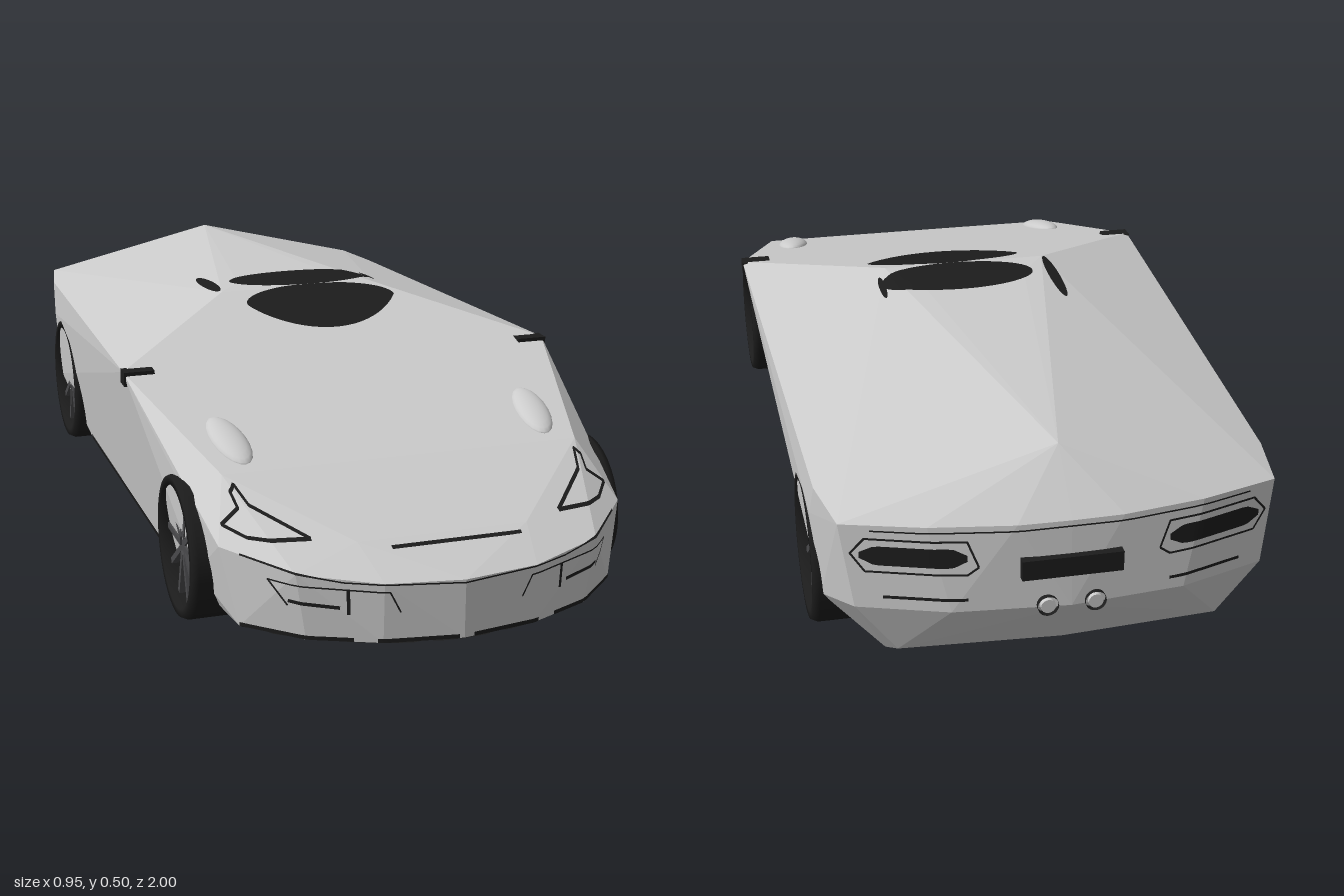
import * as THREE from 'three';
import { ConvexGeometry } from 'three/addons/geometries/ConvexGeometry.js';

const mat = (name, color, side = THREE.FrontSide) => {
  const m = new THREE.MeshStandardMaterial({ color, side });
  m.name = name;
  return m;
};

export function createModel() {
  const car = new THREE.Group();
  car.name = 'car';
  const paint = mat('silver paint', 0xcccccc);
  const black = mat('black trim', 0x1c1c1c, THREE.DoubleSide);
  const metal = mat('dark wheel metal', 0x4a4a4c);

  const add = (name, geo, material, parent = car) => {
    const m = new THREE.Mesh(geo, material);
    m.name = name;
    parent.add(m);
    return m;
  };

  // Faceted body shell: half of the corner points, mirrored across x
  const half = [
    [0.475, 0.42, 0.28], [0.47, 0.395, 0.28],                        // widest shoulder
    [0.18, 0.5, -0.02], [0.12, 0.5, -0.1], [0, 0.48, -0.87],         // roof
    [0.37, 0.316, 0.67], [0.17, 0.235, 0.88],                        // hood
    [0, 0.185, 0.995], [0.15, 0.187, 0.975], [0.3, 0.2, 0.915], [0.41, 0.22, 0.79], // nose edge
    [0, 0.07, 0.995], [0.15, 0.07, 0.972], [0.28, 0.07, 0.915], [0.38, 0.07, 0.82], // chin
    [0.432, 0.27, 0.62], [0.42, 0.12, 0.66],                         // front fender
    [0.41, 0.05, 0.4], [0.415, 0.05, -0.4], [0.29, 0.045, 0.5],      // sill
    [0, 0.036, 0.5], [0, 0.04, -0.84], [0.32, 0.045, -0.82],         // floor
    [0.445, 0.3, -0.72], [0.43, 0.13, -0.74], [0.44, 0.375, -0.76],  // rear fender
    [0.415, 0.375, -0.9], [0.26, 0.378, -0.95], [0.1, 0.38, -0.978], [0, 0.38, -0.98], // tail top
    [0.39, 0.21, -0.92], [0.22, 0.21, -0.975], [0, 0.21, -0.995],    // tail middle
    [0.31, 0.1, -0.91], [0, 0.1, -0.93],                             // tail bottom
  ];
  const corners = half.flatMap(([x, y, z]) =>
    (x ? [1, -1] : [1]).map(s => new THREE.Vector3(s * x, y, z)));
  const body = add('bodyShell', new ConvexGeometry(corners), paint);
  body.updateMatrixWorld();

  // Drop a 2D point on to the shell from one side, with a small lift
  const ray = new THREE.Raycaster();
  const sides = {
    front: [(u, v) => [u, v, 3], [0, 0, -1]],
    back: [(u, v) => [u, v, -3], [0, 0, 1]],
    top: [(u, v) => [u, 3, v], [0, -1, 0]],
    bottom: [(u, v) => [u, -3, v], [0, 1, 0]],
    left: [(u, v) => [3, v, u], [-1, 0, 0]],
    right: [(u, v) => [-3, v, u], [1, 0, 0]],
  };
  const drop = (side, u, v, lift) => {
    const [from, dir] = sides[side];
    const d = new THREE.Vector3(...dir);
    ray.set(new THREE.Vector3(...from(u, v)), d);
    const hit = ray.intersectObject(body)[0];
    return hit && hit.point.addScaledVector(d, -lift);
  };

  // Thin plate on the shell between two edge lines, given as stations [u1, v1, u2, v2]
  const plate = (name, side, stations, material = black, lift = 0.003, across = 4) => {
    const pos = [], idx = [];
    let rows = 0;
    for (const [u1, v1, u2, v2] of stations) {
      const row = [];
      for (let i = 0; i <= across; i++) {
        const t = i / across;
        const p = drop(side, u1 + (u2 - u1) * t, v1 + (v2 - v1) * t, lift);
        if (p) row.push(p.x, p.y, p.z);
      }
      if (row.length === 3 * (across + 1)) { pos.push(...row); rows++; }
    }
    for (let r = 0; r < rows - 1; r++) for (let i = 0; i < across; i++) {
      const a = r * (across + 1) + i, b = a + across + 1;
      idx.push(a, b, a + 1, a + 1, b, b + 1);
    }
    const geo = new THREE.BufferGeometry();
    geo.setAttribute('position', new THREE.Float32BufferAttribute(pos, 3));
    geo.setIndex(idx);
    geo.computeVertexNormals();
    return add(name, geo, material);
  };
  // Narrow line through a few points
  const line = (name, side, pts, width = 0.004) => {
    const stations = [];
    for (let k = 0; k < pts.length - 1; k++) {
      const [a, b] = [pts[k], pts[k + 1]];
      const dx = b[0] - a[0], dy = b[1] - a[1], l = Math.hypot(dx, dy);
      const nx = -dy / l * width / 2, ny = dx / l * width / 2;
      for (let i = 0; i <= 12; i++) {
        const u = a[0] + dx * i / 12, v = a[1] + dy * i / 12;
        stations.push([u - nx, v - ny, u + nx, v + ny]);
      }
    }
    plate(name, side, stations, black, 0.002, 1);
  };
  const range = (n, f) => Array.from({ length: n + 1 }, (_, i) => f(i / n));
  const oval = (cx, cy, rx, ry) => range(28, t => {
    const a = Math.PI * t, w = ry * Math.sin(a), u = cx - rx * Math.cos(a);
    return [u, cy - w, u, cy + w];
  });

  // Dark roof panels
  plate('rearRoofPanel', 'top', oval(0.03, -0.1, 0.17, 0.075));
  plate('frontRoofPanel', 'top', range(28, t => {
    const a = Math.PI * t, u = 0.035 - 0.175 * Math.cos(a), w = Math.sin(a);
    return [u, 0.05 - 0.075 * w, u, 0.05 + 0.14 * Math.pow(w, 1.6) - 0.03 * t * w];
  }));
  plate('roofVentRight', 'top', oval(-0.185, -0.125, 0.014, 0.1));
  plate('roofVentLeft', 'top', oval(0.2, -0.11, 0.007, 0.05));

  for (const s of [1, -1]) {
    const tag = s > 0 ? 'Left' : 'Right';
    const m = pts => pts.map(([u, v]) => [s * u, v]);

    // Mirror tip
    add('mirror' + tag, new THREE.BoxGeometry(0.065, 0.03, 0.036), black).position.set(s * 0.444, 0.408, 0.28);

    // Fender bulge above the headlight
    const bulge = add('fenderBulge' + tag, new THREE.SphereGeometry(1, 20, 12), paint);
    bulge.scale.set(0.036, 0.018, 0.09);
    bulge.position.set(s * 0.325, 0.343, 0.56);
    bulge.rotation.set(0.26, -s * 0.12, 0);

    // Headlight outline and bumper intakes
    line('headlightOutline' + tag, 'front', m([[0.25, 0.24], [0.34, 0.28], [0.355, 0.305], [0.365, 0.295],
      [0.36, 0.275], [0.395, 0.25], [0.36, 0.238], [0.25, 0.24]]), 0.005);
    line('intakeOutline' + tag, 'front', m([[0.12, 0.13], [0.14, 0.17], [0.34, 0.18], [0.31, 0.135]]), 0.003);
    line('intakeSlot' + tag, 'front', m([[0.225, 0.138], [0.31, 0.145]]), 0.007);
    line('intakePost' + tag, 'front', m([[0.212, 0.175], [0.21, 0.125]]), 0.006);

    // Tail light slot and outline
    plate('tailLight' + tag, 'back', range(16, t => {
      const u = s * (0.19 + 0.19 * t), w = 0.019 * Math.min(1, 0.3 + 5 * t, 0.3 + 5 * (1 - t));
      return [u, 0.318 - w, u, 0.318 + w];
    }));
    line('tailLightOutline' + tag, 'back', m([[0.17, 0.3], [0.19, 0.35], [0.37, 0.35], [0.395, 0.32],
      [0.37, 0.285], [0.19, 0.285], [0.17, 0.3]]), 0.004);
    line('rearReflector' + tag, 'back', m([[0.19, 0.235], [0.34, 0.235]]), 0.006);

    // Exhaust pipe
    const pipe = add('exhaust' + tag, new THREE.CylinderGeometry(0.02, 0.02, 0.03, 20, 1, true), black);
    pipe.rotation.x = Math.PI / 2;
    pipe.position.set(s * 0.045, 0.215, -0.984);
    add('exhaustCore' + tag, new THREE.CylinderGeometry(0.014, 0.014, 0.03, 16), paint, pipe);

    // Sill strip and floor strips
    line('sillStrip' + tag, s > 0 ? 'left' : 'right', [[0.4, 0.06], [-0.4, 0.06]], 0.012);
    plate('floorStrip' + tag, 'bottom', range(12, t => {
      const z = 0.38 - 0.72 * t, w = 0.03 * (1 - t) + 0.006;
      return [s * 0.395, z, s * (0.395 - w), z];
    }));
    line('rearFloorStrip' + tag, 'bottom', m([[0.2, -0.78], [0.28, -0.72]]), 0.02);
  }

  // Centre trim
  line('hoodSeam', 'front', [[-0.11, 0.226], [0.15, 0.226]]);
  line('bumperSeam', 'front', [[-0.38, 0.215], [-0.22, 0.188], [0, 0.18], [0.22, 0.188], [0.38, 0.215]], 0.003);
  for (const [a, b] of [[-0.38, -0.2], [-0.16, -0.01], [0.02, 0.16], [0.2, 0.38]])
    line('chinStrip', 'front', [[a, 0.0745], [b, 0.0745]], 0.008);
  line('tailSeam', 'back', [[-0.36, 0.366], [0, 0.37], [0.36, 0.366]], 0.003);
  add('rearGrille', new THREE.BoxGeometry(0.19, 0.04, 0.02), black).position.set(0, 0.295, -0.989);
  line('floorSeam', 'bottom', [[0.03, 0.45], [0.03, -0.65]], 0.01);

  // Dark splitter under the nose
  plate('splitter', 'bottom', range(32, t => {
    const x = -0.375 + 0.75 * t;
    return [x, 0.79, x, 0.99 - 1.15 * x * x];
  }));

  // Wheels: hollow tyre profile, recessed rim and spokes, axis along x
  const tyreProfile = [[0.116, -0.075], [0.138, -0.075], [0.145, -0.062], [0.145, 0.062],
    [0.139, 0.075], [0.124, 0.075], [0.118, 0.05], [0.116, -0.075]].map(p => new THREE.Vector2(...p));
  for (const s of [1, -1]) for (const [end, z, r] of [['front', 0.59, 1], ['rear', -0.6, 1.06]]) {
    const wheel = new THREE.Group();
    wheel.name = end + 'Wheel' + (s > 0 ? 'Left' : 'Right');
    add('tyre', new THREE.LatheGeometry(tyreProfile, 40), black, wheel);
    add('innerDisc', new THREE.CylinderGeometry(0.117, 0.117, 0.02, 32), black, wheel).position.y = -0.06;
    add('hub', new THREE.CylinderGeometry(0.025, 0.03, 0.03, 16), metal, wheel).position.y = 0.04;
    for (let i = 0; i < 10; i++) {
      const a = (i + 0.5) * Math.PI / 5;
      const spoke = add('spoke', new THREE.BoxGeometry(0.1, 0.014, 0.012), metal, wheel);
      spoke.position.set(0.068 * Math.cos(a), 0.052, 0.068 * Math.sin(a));
      spoke.rotation.y = -a;
    }
    wheel.rotation.z = -s * Math.PI / 2;
    wheel.scale.set(r, 1, r);
    wheel.position.set(s * 0.372, 0.145 * r + 0.003, z);
    car.add(wheel);
  }
  return car;
}
